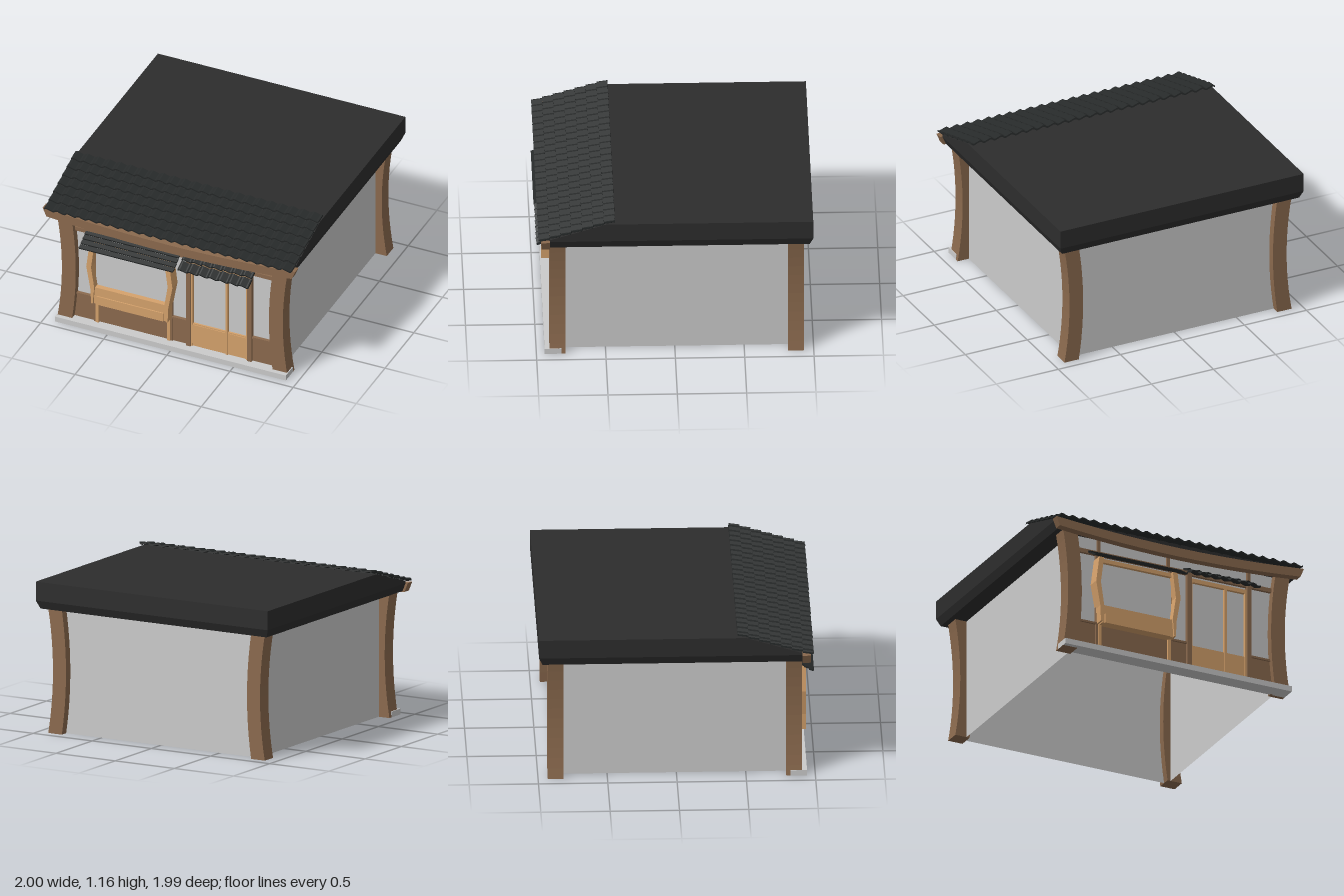
import * as THREE from 'three';

const mat = (color, extra = {}) => new THREE.MeshStandardMaterial({ color, ...extra });
const M = {
  wall: mat(0xcccccc, { side: THREE.DoubleSide }),
  stone: mat(0xcccccc),
  dark: mat(0x8b6a4e),
  light: mat(0xd6a26c),
  roof: mat(0x2d2d2d),
  tile: mat(0x272a2a),
};

export function createModel() {
  const root = new THREE.Group();

  const add = (name, geometry, material, parent = root) => {
    const mesh = new THREE.Mesh(geometry, material);
    mesh.name = name;
    parent.add(mesh);
    return mesh;
  };
  // Box given by its limits
  const box = (name, material, x0, x1, y0, y1, z0, z1, parent) => {
    const g = new THREE.BoxGeometry(x1 - x0, y1 - y0, z1 - z0);
    g.translate((x0 + x1) / 2, (y0 + y1) / 2, (z0 + z1) / 2);
    return add(name, g, material, parent);
  };
  // Front-facing outline pushed from z0 to z1
  const slab = (name, material, shape, z0, z1, parent) => {
    const g = new THREE.ExtrudeGeometry(shape, { depth: z1 - z0, bevelEnabled: false });
    g.translate(0, 0, z0);
    return add(name, g, material, parent);
  };
  const group = (name) => {
    const g = new THREE.Group();
    g.name = name;
    root.add(g);
    return g;
  };
  const polygon = (pts) => new THREE.Shape(pts.map(([x, y]) => new THREE.Vector2(x, y)));

  // Overlapping rows of wavy tiles on a slope from front (zf, yf) to back (zb, yb)
  const tileRows = (name, { x0, x1, cols, rows, zf, yf, zb, yb, amp, thick, lift }) => {
    const g = group(name);
    const top = [], under = [], n = amp ? cols * 8 : 1;
    for (let i = 0; i <= n; i++) {
      const a = (i / n) * cols * Math.PI * 2;
      const y = amp * Math.sin(a + 0.45 * Math.sin(a));
      const x = x0 + ((x1 - x0) * i) / n;
      top.push([x, y + thick]);
      under.unshift([x, y]);
    }
    const shape = polygon([...top, ...under]);
    const run = (zf - zb) / rows, rise = (yb - yf) / rows;
    const angle = Math.atan2(rise - lift, run);
    for (let r = 0; r < rows; r++) {
      const row = slab('tileRow', M.tile, shape, 0, Math.hypot(run, rise - lift), g);
      row.position.set(0, yf + rise * (r + 1), zf - run * (r + 1));
      row.rotation.x = angle;
    }
  };

  // Roof block: sloped front, flat top, tapered lower rim
  const profile = polygon([[-0.905, 0.98], [-0.905, 0.995], [-0.5, 1.12], [0.995, 1.12], [0.995, 0.98]]);
  const upper = new THREE.ExtrudeGeometry(profile, { depth: 1.96, bevelEnabled: false });
  upper.translate(0, 0, -0.98).rotateY(Math.PI / 2);
  add('roofBlock', upper, M.roof);
  const rim = box('roofRim', M.roof, -0.98, 0.98, 0.92, 0.98, -0.995, 0.905).geometry;
  const p = rim.attributes.position;
  for (let i = 0; i < p.count; i++) {
    if (p.getY(i) > 0.95) continue;
    p.setX(i, p.getX(i) * 0.975);
    if (p.getZ(i) < 0) p.setZ(i, -0.97);
  }
  rim.computeVertexNormals();

  tileRows('roofTiles', { x0: -0.98, x1: 0.98, cols: 23, rows: 7, zf: 0.985, yf: 0.973,
    zb: 0.435, yb: 1.14, amp: 0.008, thick: 0.013, lift: 0.012 });

  // Sagging beam under the eaves
  const beam = new THREE.Shape();
  beam.moveTo(-1, 0.983);
  beam.quadraticCurveTo(0, 0.889, 1, 0.983);
  beam.lineTo(0.972, 0.915);
  beam.quadraticCurveTo(0, 0.82, -0.972, 0.915);
  slab('eavesBeam', M.dark, beam, 0.905, 0.965);

  // Corner posts bowed inwards
  for (const s of [-1, 1]) {
    const post = new THREE.Shape();
    post.moveTo(s * 0.915, 0);
    post.quadraticCurveTo(s * 0.835, 0.46, s * 0.915, 0.92);
    post.lineTo(s * 0.8, 0.92);
    post.quadraticCurveTo(s * 0.73, 0.46, s * 0.8, 0);
    slab('frontPost', M.dark, post, 0.79, 0.905);
    slab('backPost', M.dark, post, -0.93, -0.815);
  }

  // Walls and front step
  for (const s of [-1, 1]) {
    const side = new THREE.PlaneGeometry(1.72, 0.92).rotateY((s * Math.PI) / 2);
    add('sideWall', side.translate(s * 0.825, 0.46, -0.01), M.wall);
  }
  add('backWall', new THREE.PlaneGeometry(1.65, 0.92).rotateY(Math.PI).translate(0, 0.46, -0.87), M.wall);
  add('frontWall', new THREE.PlaneGeometry(1.65, 0.88).translate(0, 0.48, 0.85), M.wall);
  box('frontStep', M.stone, -0.915, 0.915, 0, 0.042, 0.82, 0.94);

  // Front timber framing
  const frame = group('frontFraming');
  for (const [a, b] of [[-0.8, 0.11], [0.61, 0.8]]) {
    box('lowerPanel', M.dark, a, b, 0.04, 0.24, 0.835, 0.862, frame);
    box('panelCap', M.dark, a, b, 0.238, 0.253, 0.83, 0.875, frame);
  }
  box('upperRail', M.dark, -0.8, 0.8, 0.788, 0.82, 0.835, 0.872, frame);
  for (const x of [-0.608, -0.045, 0.603]) box('shortStud', M.dark, x - 0.012, x + 0.012, 0.81, 0.92, 0.835, 0.87, frame);
  for (const x of [-0.625, -0.025]) box('darkStud', M.dark, x - 0.01, x + 0.01, 0.04, 0.8, 0.835, 0.872, frame);
  for (const x of [0.117, 0.6]) box('doorPost', M.dark, x - 0.017, x + 0.017, 0.04, 0.82, 0.83, 0.885, frame);

  // Bay window with kinked side brackets
  const bay = group('bayWindow');
  const cx = -0.325;
  box('windowPane', M.stone, cx - 0.29, cx + 0.29, 0.36, 0.76, 0.852, 0.885, bay);
  for (const s of [-1, 1]) {
    const bracket = polygon([[0.29, 0.24], [0.278, 0.38], [0.303, 0.55], [0.278, 0.75],
      [0.315, 0.75], [0.341, 0.55], [0.308, 0.36], [0.303, 0.24]].map(([x, y]) => [cx + s * x, y]));
    slab('sideBracket', M.light, bracket, 0.85, 0.94, bay);
    const x = cx + s * 0.282;
    box('windowLeg', M.light, x - 0.012, x + 0.012, 0.042, 0.25, 0.85, 0.88, bay);
  }
  box('sillPanel', M.light, cx - 0.285, cx + 0.285, 0.235, 0.375, 0.85, 0.925, bay);
  box('sillBoard', M.light, cx - 0.265, cx + 0.265, 0.235, 0.305, 0.9, 0.934, bay);
  box('windowHead', M.light, cx - 0.3, cx + 0.3, 0.72, 0.75, 0.85, 0.91, bay);

  // Sliding door: panes above, panels below
  const door = group('door');
  box('doorBase', M.light, 0.13, 0.587, 0.042, 0.235, 0.84, 0.864, door);
  for (const [a, b] of [[0.145, 0.4], [0.427, 0.567]]) box('doorPanel', M.light, a, b, 0.065, 0.225, 0.85, 0.869, door);
  for (const [a, b] of [[0.132, 0.145], [0.405, 0.424], [0.57, 0.586]]) box('doorStile', M.light, a, b, 0.042, 0.76, 0.84, 0.873, door);
  box('doorHead', M.light, 0.13, 0.587, 0.735, 0.765, 0.84, 0.873, door);

  // Awnings over the window and the door
  tileRows('windowAwning', { x0: -0.7, x1: 0.045, cols: 1, rows: 4, zf: 0.993, yf: 0.717,
    zb: 0.86, yb: 0.8, amp: 0, thick: 0.012, lift: 0.009 });
  tileRows('doorAwning', { x0: 0.08, x1: 0.64, cols: 7, rows: 2, zf: 0.988, yf: 0.738,
    zb: 0.845, yb: 0.826, amp: 0.009, thick: 0.014, lift: 0.013 });

  return root;
}
